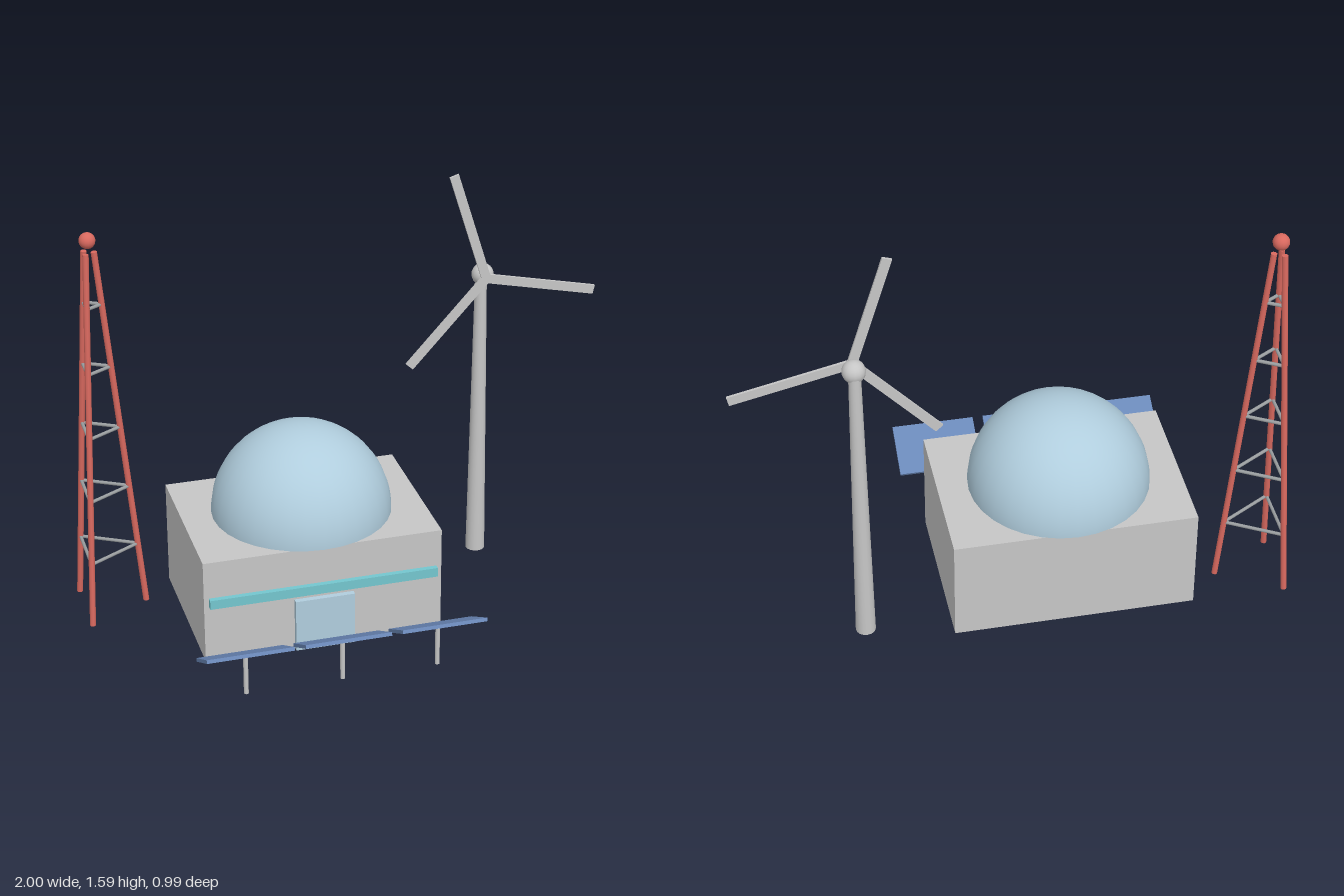
import * as THREE from 'three';

const material = (name, color, side = THREE.FrontSide) => {
  const m = new THREE.MeshStandardMaterial({ color, side });
  m.name = name;
  return m;
};

export function createModel() {
  const concrete = material('concrete grey', 0xc6c6c6);
  const steel = material('brace grey', 0x9a9ea0);
  const glass = material('pale blue glass', 0xb0cddd, THREE.DoubleSide);
  const teal = material('teal window', 0x74c6ce);
  const solar = material('solar blue', 0x6a88b8);
  const red = material('mast red', 0xd9695f);

  const model = new THREE.Group();
  model.name = 'researchStation';

  const group = (name, x = 0, y = 0, z = 0, parent = model) => {
    const g = new THREE.Group();
    g.name = name;
    g.position.set(x, y, z);
    parent.add(g);
    return g;
  };
  const add = (parent, name, geometry, mat, x = 0, y = 0, z = 0) => {
    const mesh = new THREE.Mesh(geometry, mat);
    mesh.name = name;
    mesh.position.set(x, y, z);
    parent.add(mesh);
    return mesh;
  };
  // Round bar between two points
  const bar = (parent, name, a, b, radius, mat) => {
    const dir = b.clone().sub(a);
    const geo = new THREE.CylinderGeometry(radius, radius, dir.length(), 8);
    const mesh = add(parent, name, geo, mat);
    mesh.position.copy(a).add(b).multiplyScalar(0.5);
    mesh.quaternion.setFromUnitVectors(new THREE.Vector3(0, 1, 0), dir.normalize());
  };

  // Main building with dome, window band and door
  const building = group('building', -0.193, 0, -0.16);
  add(building, 'block', new THREE.BoxGeometry(0.894, 0.406, 0.628), concrete, 0, 0.203, 0);
  add(building, 'dome',
    new THREE.SphereGeometry(0.335, 32, 16, 0, Math.PI * 2, 0, Math.PI / 2), glass, 0, 0.406, 0);
  add(building, 'windowBand', new THREE.BoxGeometry(0.856, 0.036, 0.03), teal, 0, 0.243, 0.319);
  add(building, 'door', new THREE.BoxGeometry(0.223, 0.205, 0.03), glass, 0, 0.1025, 0.32);

  // Row of tilted solar panels on posts
  for (let i = -1; i <= 1; i++) {
    const unit = group('solarUnit', -0.193 + i * 0.356, 0, 0.4);
    add(unit, 'post', new THREE.CylinderGeometry(0.009, 0.009, 0.15, 8), concrete, 0, 0.075, 0);
    const panel = add(unit, 'panel', new THREE.BoxGeometry(0.316, 0.013, 0.2), solar, 0, 0.161, 0);
    panel.rotation.x = -0.5;
  }

  // Wind turbine
  const turbine = group('windTurbine', 0.569, 0, -0.383);
  add(turbine, 'tower', new THREE.CylinderGeometry(0.022, 0.037, 1.17, 16), concrete, 0, 0.585, 0);
  add(turbine, 'hub', new THREE.SphereGeometry(0.042, 16, 12), concrete, 0, 1.17, 0.018);
  const rotor = group('rotor', 0, 1.17, 0.06, turbine);
  for (let i = 0; i < 3; i++) {
    const arm = group('bladeArm', 0, 0, 0, rotor);
    arm.rotation.z = THREE.MathUtils.degToRad(17.5 + i * 120);
    add(arm, 'blade', new THREE.BoxGeometry(0.035, 0.438, 0.01), concrete, 0, 0.219, 0);
  }

  // Three-legged lattice mast with a beacon
  const mast = group('radioMast', -0.91, 0, -0.342);
  const legHeight = 1.438;
  const legPoint = (i, y) => {
    const r = THREE.MathUtils.lerp(0.153, 0.022, y / legHeight);
    const a = (i * Math.PI * 2) / 3;
    return new THREE.Vector3(r * Math.cos(a), y, r * Math.sin(a));
  };
  for (let i = 0; i < 3; i++) {
    bar(mast, 'leg', legPoint(i, 0), legPoint(i, legHeight), 0.0115, red);
    for (let level = 1; level <= 5; level++) {
      const y = level * 0.247;
      bar(mast, 'brace', legPoint(i, y), legPoint(i + 1, y), 0.0065, steel);
    }
  }
  add(mast, 'beacon', new THREE.SphereGeometry(0.03, 16, 12), red, 0, 1.483, 0);

  return model;
}
